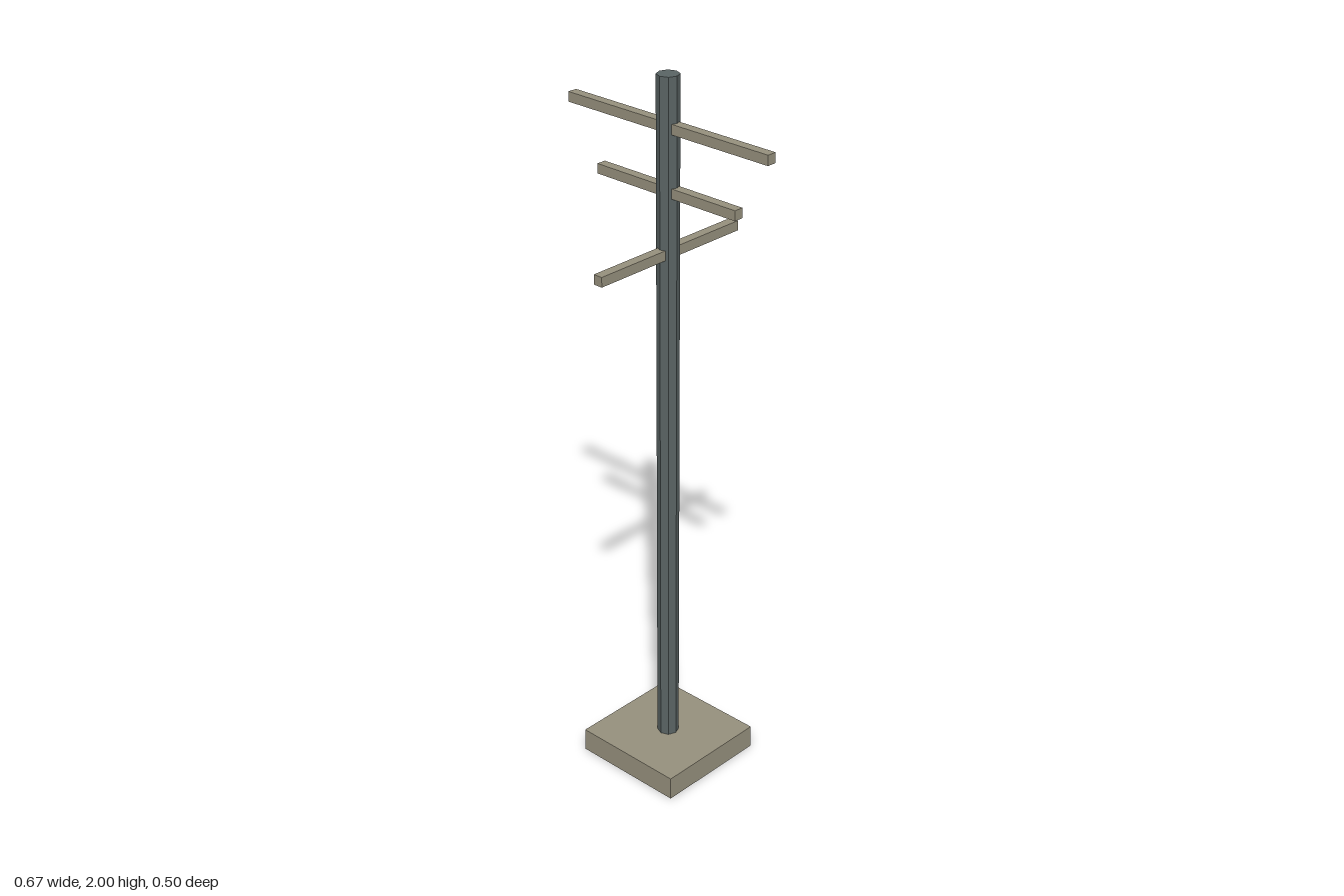
import * as THREE from 'three';

export function createModel() {
  const model = new THREE.Group();
  model.name = 'utilityPole';

  const metal = new THREE.MeshStandardMaterial({ color: 0x5a6464, flatShading: true });
  metal.name = 'dark grey metal';
  const stone = new THREE.MeshStandardMaterial({ color: 0x96907d, flatShading: true });
  stone.name = 'warm grey';

  const add = (name, geometry, material, y) => {
    const mesh = new THREE.Mesh(geometry, material);
    mesh.name = name;
    mesh.position.y = y;
    model.add(mesh);
  };

  // Square footing
  add('base', new THREE.BoxGeometry(0.333, 0.067, 0.333), stone, 0.0335);

  // Octagonal mast, corners on the axes, running down through the footing
  add('mast', new THREE.CylinderGeometry(0.03, 0.03, 1.999, 8), metal, 1.0005);

  // Crossarms: two run sideways, the lowest runs front to back
  const t = 0.027;
  add('upperCrossarm', new THREE.BoxGeometry(0.667, t, t), stone, 1.867);
  add('middleCrossarm', new THREE.BoxGeometry(0.467, t, t), stone, 1.7);
  add('lowerCrossarm', new THREE.BoxGeometry(t, t, 0.5), stone, 1.535);

  return model;
}
